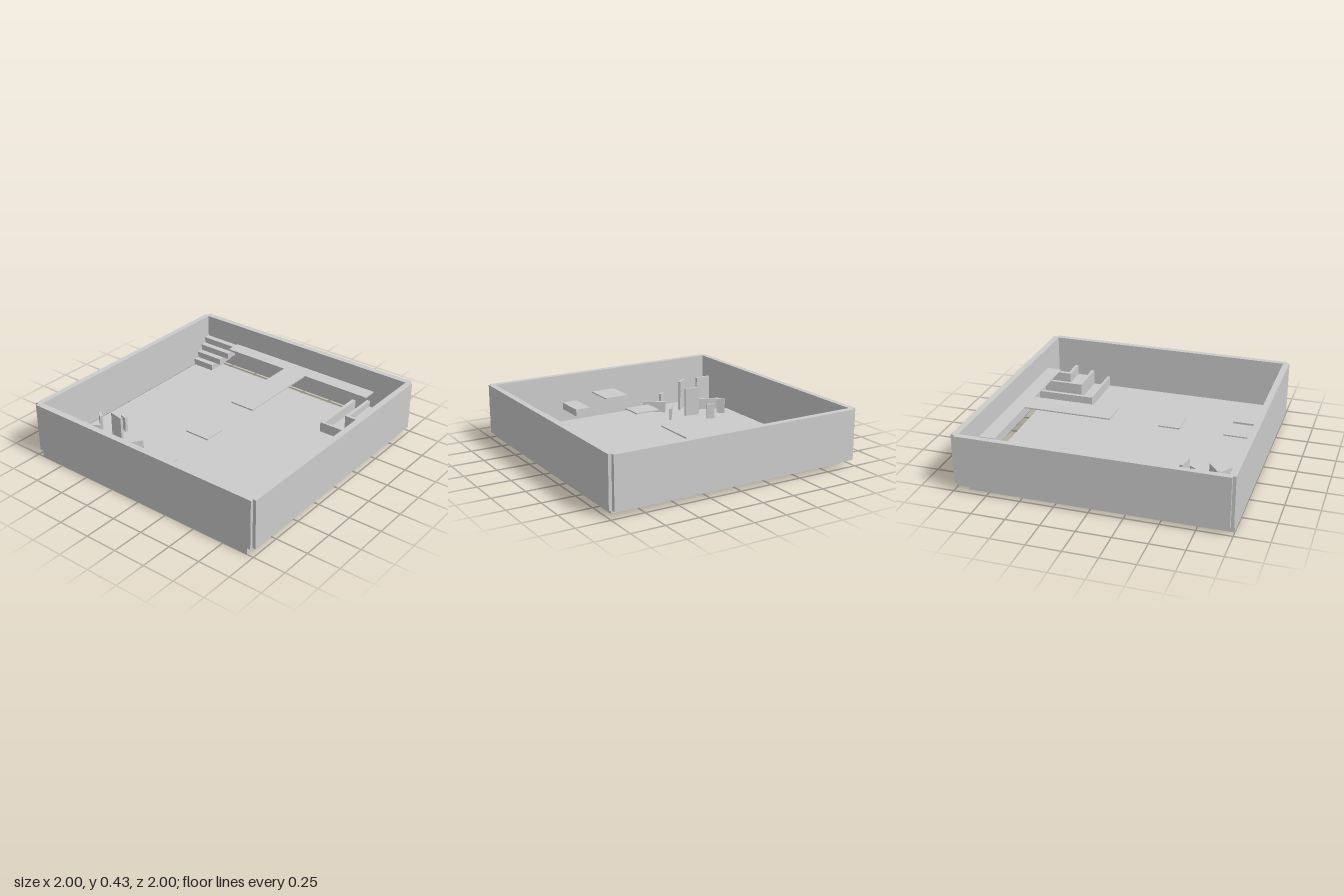
import * as THREE from 'three';

export function createModel() {
  const model = new THREE.Group();
  const material = new THREE.MeshStandardMaterial({ color: 0xcccccc, flatShading: true });

  // Box given by its extents along each axis
  const block = (name, [x0, x1], [y0, y1], [z0, z1]) => {
    const mesh = new THREE.Mesh(new THREE.BoxGeometry(x1 - x0, y1 - y0, z1 - z0), material);
    mesh.position.set((x0 + x1) / 2, (y0 + y1) / 2, (z0 + z1) / 2);
    mesh.name = name;
    model.add(mesh);
    return mesh;
  };

  // Upright prism from a flat outline of [x, z] points
  const prism = (name, points, y0, y1) => {
    const shape = new THREE.Shape(points.map(([x, z]) => new THREE.Vector2(x, -z)));
    const geometry = new THREE.ExtrudeGeometry(shape, { depth: y1 - y0, bevelEnabled: false });
    geometry.rotateX(-Math.PI / 2);
    const mesh = new THREE.Mesh(geometry, material);
    mesh.position.y = y0;
    mesh.name = name;
    model.add(mesh);
  };

  const FLOOR = 0.05, TOP = 0.43, DECK = 0.26, IN = 0.952;

  // Floor slab, stopping short of the left wall
  block('floor', [-1, 0.905], [0, FLOOR], [-0.95, 0.95]);

  // Surrounding walls with notched corners
  block('rightWall', [-1, -IN], [FLOOR, TOP], [-0.977, 0.974]);
  block('leftWall', [IN, 1], [FLOOR, TOP], [-0.977, 0.974]);
  block('frontWall', [-0.977, 0.97], [FLOOR, TOP], [IN, 0.998]);
  block('backWall', [-0.977, 0.97], [FLOOR, TOP], [-1, -0.956]);

  // Thin raised platforms
  const deck = [DECK - 0.01, DECK];
  prism('walkway', [
    [0.15, -0.08], [0.835, -0.08], [0.835, -0.643], [IN, -0.643],
    [IN, 0.687], [0.835, 0.687], [0.835, 0.12], [0.15, 0.12],
  ], ...deck);
  block('centrePlatform', [-0.385, -0.22], deck, [-0.08, 0.12]);
  block('sidePlatform', [-IN, -0.71], deck, [-0.08, 0.12]);

  // Ledges descending along the right wall
  block('upperLedge', [-IN, -0.71], [0.15, 0.205], [0.262, 0.385]);
  block('lowerLedge', [-IN, -0.71], [0.08, 0.135], [0.53, 0.655]);

  // Nested corner walls, rising toward the front left corner
  const corner = (name, x, z, wx, wz, y1) => prism(name, [
    [x, z], [IN, z], [IN, z + wz], [x + wx, z + wz], [x + wx, IN], [x, IN],
  ], FLOOR, y1);
  corner('outerCornerWall', 0.5, 0.503, 0.021, 0.03, 0.13);
  corner('middleCornerWall', 0.638, 0.635, 0.024, 0.027, 0.17);
  corner('cornerTread', 0.66, 0.66, 0.12, 0.1, 0.12);
  corner('innerCornerWall', 0.779, 0.757, 0.024, 0.033, 0.2);

  // Stacked steps in the back left corner
  for (let i = 0; i < 4; i++) {
    const inset = 0.048 * i;
    block('cornerStep', [0.76 + inset, IN], [FLOOR + 0.05 * i, FLOOR + 0.05 * (i + 1)],
      [-0.956, -0.767 + inset]);
  }

  // Scattered standing slabs: ends of each [x0, z0, x1, z1] and height
  const slabs = [
    [-0.795, -0.915, -0.795, -0.79, 0.24],
    [-0.612, -0.893, -0.685, -0.725, 0.09],
    [-0.475, -0.867, -0.515, -0.815, 0.12],
    [-0.87, -0.755, -0.91, -0.698, 0.12],
    [-0.395, -0.71, -0.415, -0.65, 0.12],
    [-0.817, -0.682, -0.742, -0.588, 0.24],
    [-0.552, -0.657, -0.575, -0.54, 0.23],
    [-0.91, -0.535, -0.877, -0.482, 0.12],
    [-0.747, -0.455, -0.85, -0.303, 0.09],
    [-0.683, -0.475, -0.532, -0.372, 0.09],
  ];
  for (const [x0, z0, x1, z1, h] of slabs) {
    const length = Math.hypot(x1 - x0, z1 - z0);
    const slab = block('standingSlab', [-0.01, 0.01], [FLOOR, FLOOR + h], [-length / 2, length / 2]);
    slab.position.x = (x0 + x1) / 2;
    slab.position.z = (z0 + z1) / 2;
    slab.rotation.y = Math.atan2(x1 - x0, z1 - z0);
  }

  return model;
}
